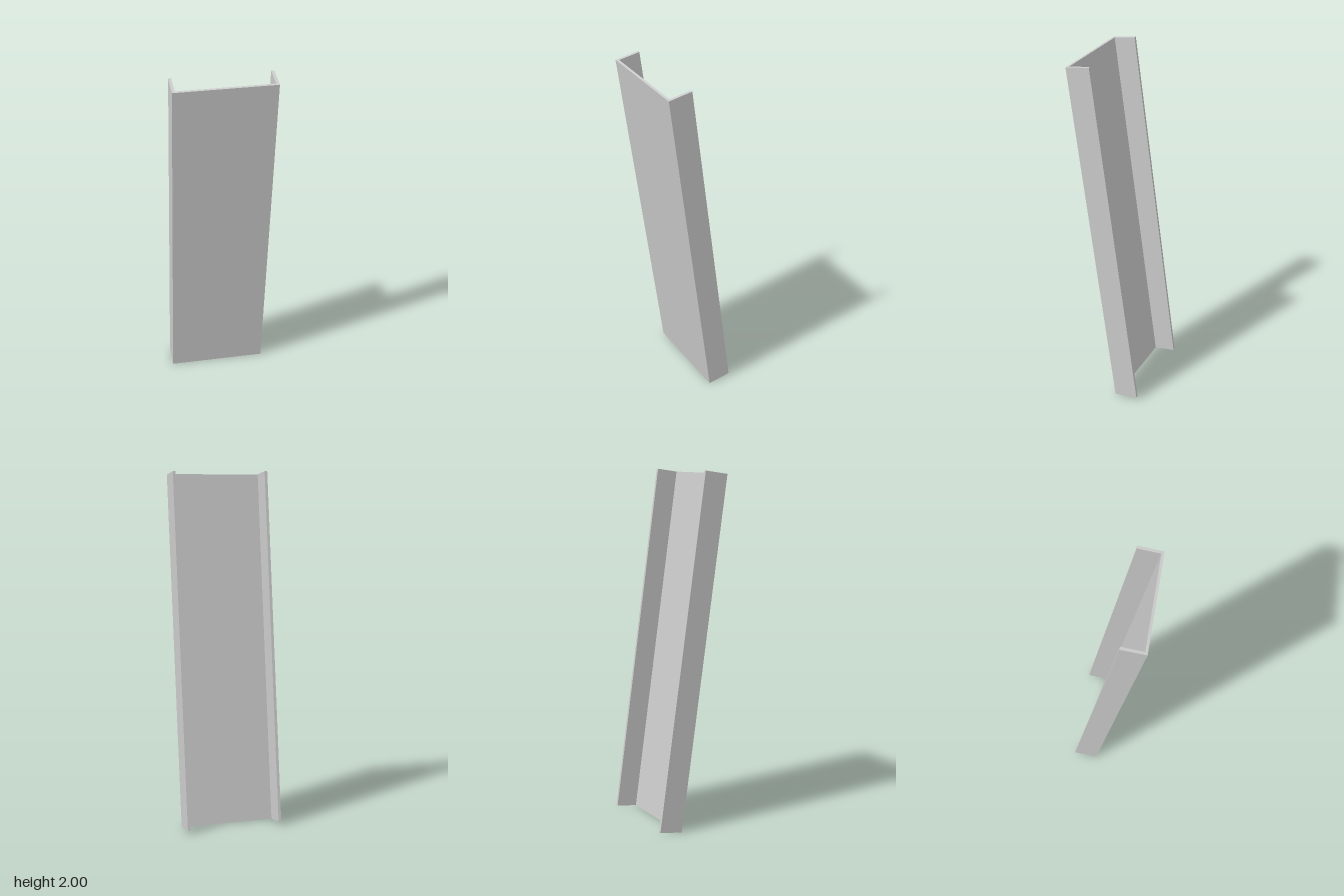
import * as THREE from 'three';

export function createModel() {
  const width = 0.553, depth = 0.137, length = 2.0, flange = 0.016, web = 0.014;
  const h = width / 2;

  // U-shaped section: web along the front, flanges running back
  const section = new THREE.Shape([
    [-h, 0], [h, 0], [h, depth], [h - flange, depth],
    [h - flange, web], [-h + flange, web], [-h + flange, depth], [-h, depth],
  ].map(([x, y]) => new THREE.Vector2(x, y)));

  // Extrude upwards, with the flanges towards the back
  const geometry = new THREE.ExtrudeGeometry(section, { depth: length, bevelEnabled: false });
  geometry.rotateX(-Math.PI / 2);
  geometry.translate(0, -length / 2, depth / 2);

  const channel = new THREE.Mesh(geometry, new THREE.MeshStandardMaterial({ color: 0xcccccc }));
  channel.name = 'channel';

  // Lean forwards, with a slight twist about the vertical
  channel.rotation.set(THREE.MathUtils.degToRad(8), 0.011, 0, 'YXZ');
  channel.position.y = 1;

  const group = new THREE.Group();
  group.name = 'leaningChannel';
  group.add(channel);
  return group;
}
